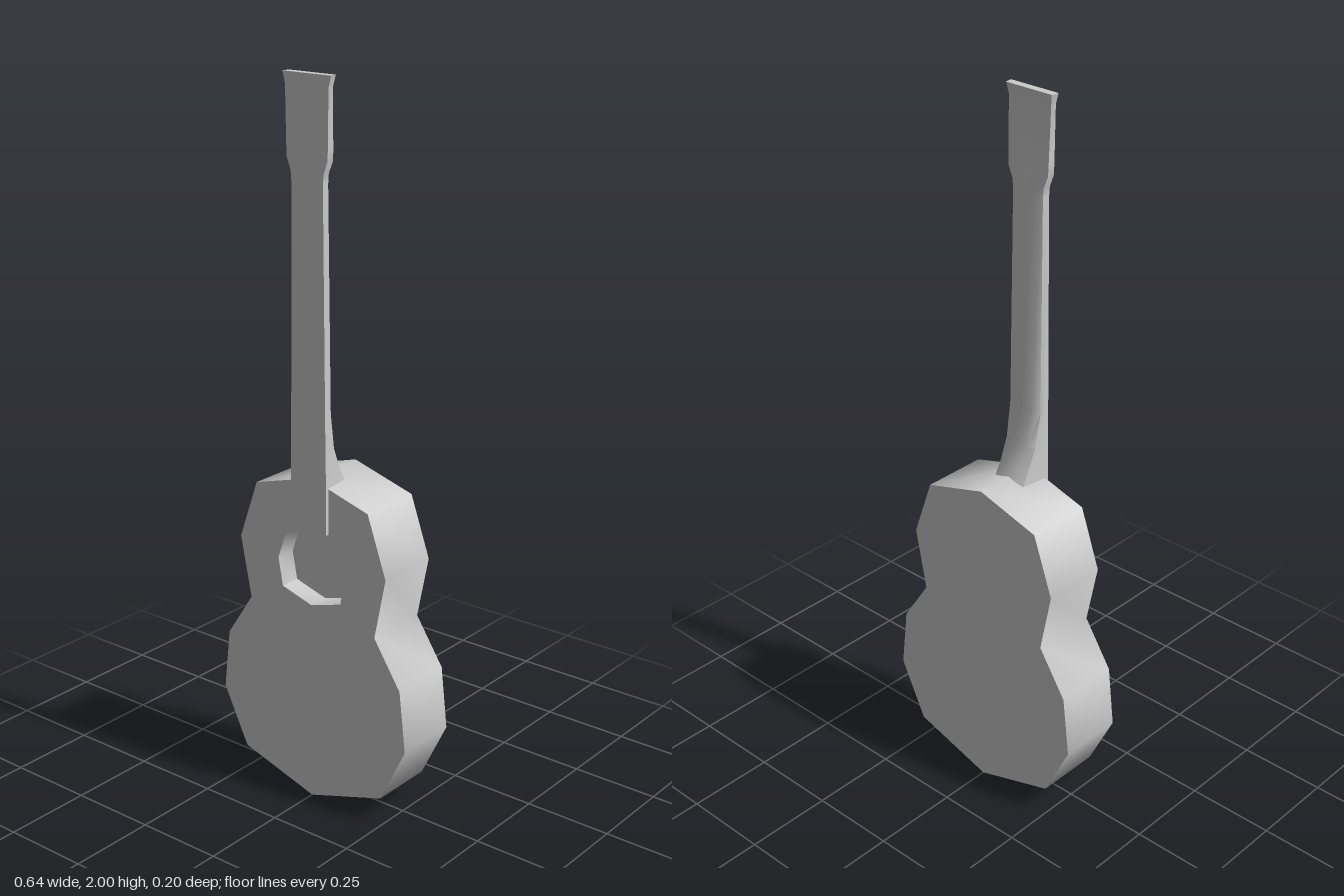
import * as THREE from 'three';
import { toCreasedNormals } from 'three/addons/utils/BufferGeometryUtils.js';

const material = new THREE.MeshStandardMaterial({ color: 0xcccccc });

function part(name, geometry) {
  const mesh = new THREE.Mesh(geometry, material);
  mesh.name = name;
  return mesh;
}

// Skin between closed rings of [x, y, z]; optional fan caps at both ends
function loft(rings, capped = false) {
  const n = rings[0].length;
  const pos = [];
  const tri = (a, b, c) => pos.push(...a, ...b, ...c);
  for (let i = 0; i < rings.length - 1; i++) {
    for (let j = 0; j < n; j++) {
      const k = (j + 1) % n;
      const lo = rings[i], hi = rings[i + 1];
      tri(lo[j], lo[k], hi[k]);
      tri(lo[j], hi[k], hi[j]);
    }
  }
  if (capped) {
    const first = rings[0], last = rings[rings.length - 1];
    for (let j = 1; j < n - 1; j++) {
      tri(first[0], first[j + 1], first[j]);
      tri(last[0], last[j], last[j + 1]);
    }
  }
  const g = new THREE.BufferGeometry();
  g.setAttribute('position', new THREE.Float32BufferAttribute(pos, 3));
  return toCreasedNormals(g, 1.0);
}

// Right half (bottom to top, both ends on the axis) to a full counterclockwise outline
function mirrorOutline(half) {
  const left = half.slice(1, -1).reverse().map(([x, y]) => [-x, y]);
  return [...half, ...left];
}

const toVectors = (pts) => pts.map(([x, y]) => new THREE.Vector2(x, y));
const atDepth = (pts, z) => pts.map(([x, y]) => [x, y, z]);

export function createModel() {
  const model = new THREE.Group();
  model.name = 'guitar';
  const backZ = -0.10, frontZ = 0.09, floorZ = 0.03;

  const outline = mirrorOutline([
    [0, 0], [0.24, 0.075], [0.32, 0.24], [0.30, 0.415],
    [0.215, 0.545], [0.25, 0.72], [0.19, 0.89], [0, 0.945],
  ]);
  const hole = mirrorOutline([
    [0, 0.58], [0.10, 0.61], [0.115, 0.69], [0.088, 0.77], [0, 0.795],
  ]);

  // Body: side band, front with the sound hole, back
  const body = new THREE.Group();
  body.name = 'body';
  body.add(part('bodySides', loft([atDepth(outline, backZ), atDepth(outline, frontZ)])));

  const frontShape = new THREE.Shape(toVectors(outline));
  frontShape.holes.push(new THREE.Path(toVectors(hole)));
  const front = part('bodyFront', new THREE.ShapeGeometry(frontShape));
  front.position.z = frontZ;

  const back = part('bodyBack', new THREE.ShapeGeometry(new THREE.Shape(toVectors(outline))));
  back.rotation.y = Math.PI;
  back.position.z = backZ;

  // Recessed sound hole
  const inward = [...hole].reverse();
  const holeWall = part('soundHoleWall', loft([atDepth(inward, floorZ), atDepth(inward, frontZ)]));
  const holeFloor = part('soundHoleFloor', new THREE.ShapeGeometry(new THREE.Shape(toVectors(hole))));
  holeFloor.position.z = floorZ;
  body.add(front, back, holeWall, holeFloor);
  model.add(body);

  // Fretboard end lying on the body
  const board = part('fretboardEnd', new THREE.BoxGeometry(0.12, 0.13, 0.01));
  board.position.set(0, 0.865, 0.095);
  model.add(board);

  // Heel, neck and head: [y, front half width, back half width, back edge z, back centre z]
  const sections = [
    [0.93, 0.060, 0.050, 0.010, 0.000],
    [0.97, 0.059, 0.050, 0.032, 0.020],
    [1.03, 0.058, 0.051, 0.056, 0.043],
    [1.13, 0.057, 0.054, 0.073, 0.057],
    [1.73, 0.051, 0.050, 0.078, 0.066],
    [1.757, 0.053, 0.052, 0.078, 0.068],
    [1.79, 0.066, 0.066, 0.078, 0.073],
    [1.83, 0.067, 0.067, 0.079, 0.077],
    [1.97, 0.069, 0.069, 0.083, 0.083],
    [2.00, 0.077, 0.074, 0.078, 0.078],
  ];
  const rings = sections.map(([y, w, b, edge, centre]) => {
    const mid = centre + (edge - centre) * 0.3;
    return [
      [w, y, 0.10], [w, y, 0.09], [b, y, edge], [b * 0.55, y, mid], [0, y, centre],
      [-b * 0.55, y, mid], [-b, y, edge], [-w, y, 0.09], [-w, y, 0.10],
    ];
  });
  model.add(part('neckAndHead', loft(rings, true)));

  return model;
}
